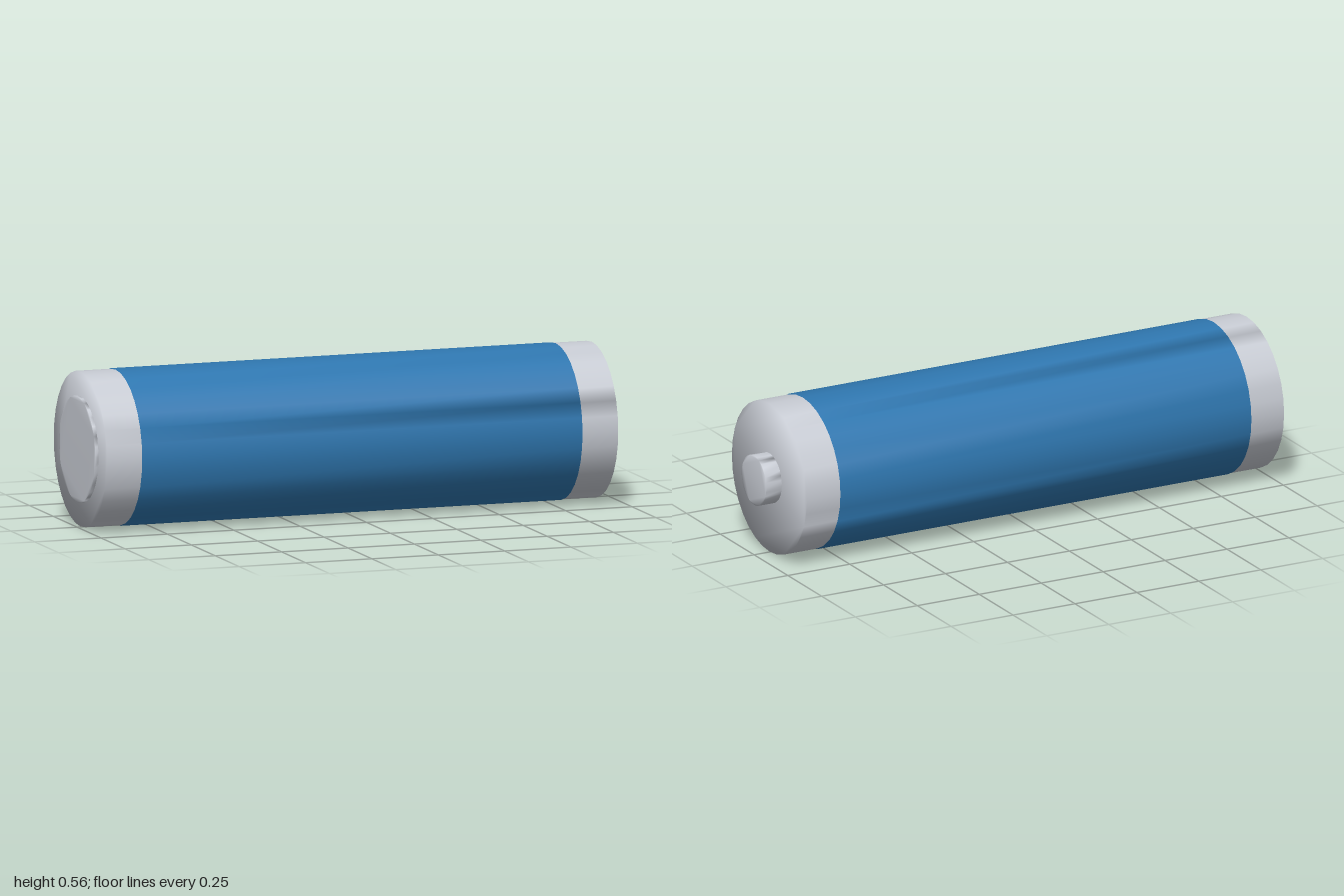
import * as THREE from 'three';
import { mergeVertices } from 'three/addons/utils/BufferGeometryUtils.js';

const SIDES = 32;
const AXIS_HEIGHT = 0.28;

// Closed cylinder lying along x, with welded corners for soft shading all over
function rod(name, radius, x0, x1, material) {
  const points = [];
  for (let i = 0; i < SIDES; i++) {
    const a = (i / SIDES) * Math.PI * 2;
    points.push(new THREE.Vector2(Math.cos(a) * radius, Math.sin(a) * radius));
  }
  let geometry = new THREE.ExtrudeGeometry(new THREE.Shape(points), {
    depth: x1 - x0, bevelEnabled: false, steps: 1,
  });
  geometry.deleteAttribute('normal');
  geometry.deleteAttribute('uv');
  geometry.clearGroups();
  geometry = mergeVertices(geometry, 1e-5);
  geometry.rotateY(Math.PI / 2);
  geometry.translate(x0, AXIS_HEIGHT, 0);
  geometry.computeVertexNormals();

  const mesh = new THREE.Mesh(geometry, material);
  mesh.name = name;
  return mesh;
}

export function createModel() {
  const steel = new THREE.MeshStandardMaterial({ color: 0xc8ccd4 });
  steel.name = 'steel';
  const blue = new THREE.MeshStandardMaterial({ color: 0x2f77b0 });
  blue.name = 'blue wrap';

  const battery = new THREE.Group();
  battery.name = 'battery';
  battery.add(
    rod('can', 0.278, -0.988, 0.938, steel),
    rod('wrapper', 0.28, -0.855, 0.803, blue),
    rod('positiveTerminal', 0.092, 0.93, 1, steel),
    rod('negativeTerminal', 0.19, -1, -0.98, steel),
  );
  return battery;
}
